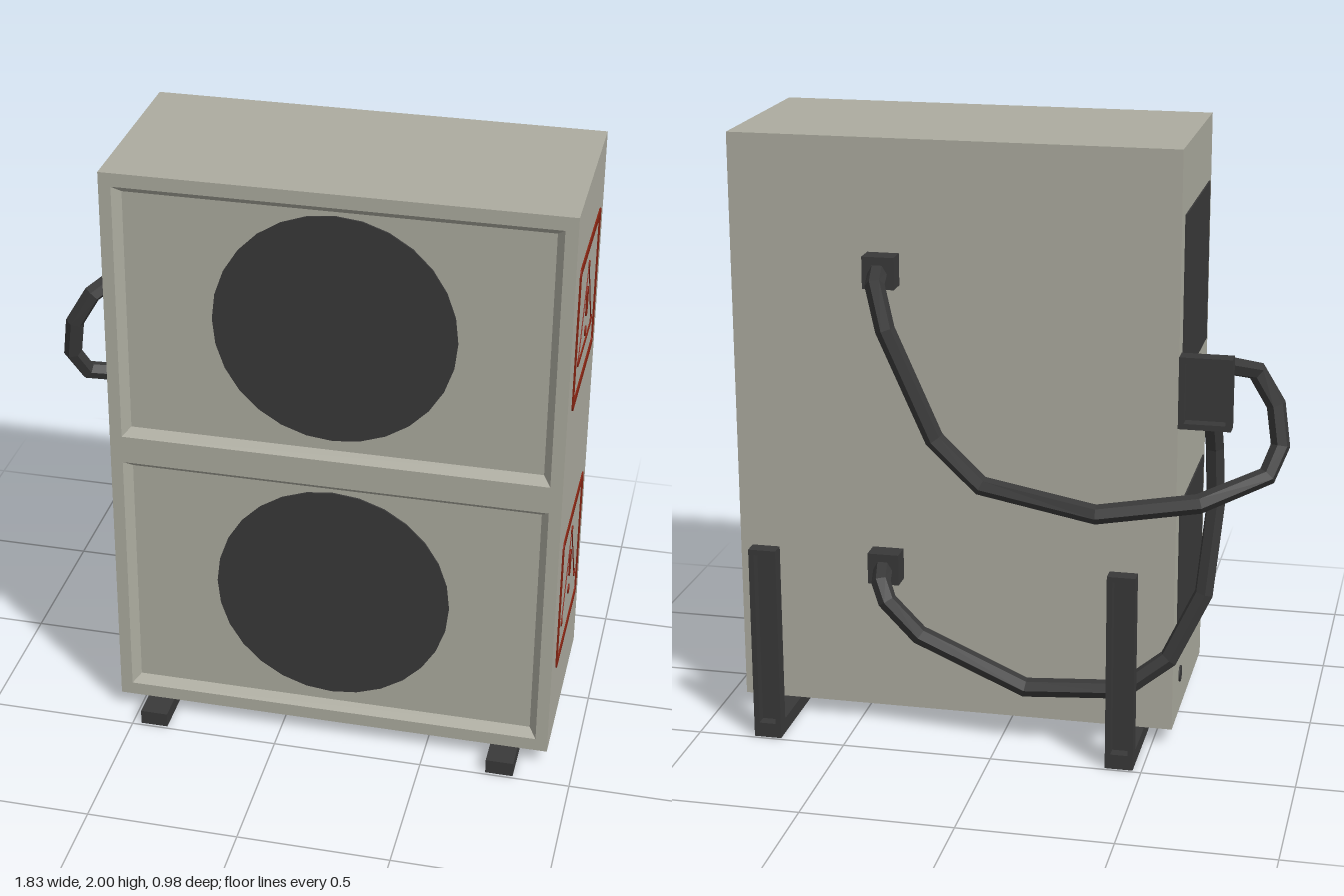
import * as THREE from 'three';

const mat = (name, color) => {
  const m = new THREE.MeshStandardMaterial({ color });
  m.name = name;
  return m;
};

// Polyline path with mitred joints, so tubes keep their straight segments
class Polyline extends THREE.Curve {
  constructor(points) {
    super();
    this.points = points.map(p => new THREE.Vector3(...p));
  }
  getPoint(t, target = new THREE.Vector3()) {
    const n = this.points.length - 1, i = Math.min(Math.floor(t * n + 1e-6), n - 1);
    return target.lerpVectors(this.points[i], this.points[i + 1], t * n - i);
  }
  getPointAt(t, target) { return this.getPoint(t, target); }
  getTangentAt(t, target = new THREE.Vector3()) {
    const p = this.points, n = p.length - 1, i = Math.round(t * n);
    target.set(0, 0, 0);
    if (i > 0) target.add(p[i].clone().sub(p[i - 1]).normalize());
    if (i < n) target.add(p[i + 1].clone().sub(p[i]).normalize());
    return target.normalize();
  }
}

// Rounded rectangle outline centred on cx, cy
function rect(path, w, h, r = 0, cx = 0, cy = 0) {
  const x = w / 2, y = h / 2;
  if (r === 0) {
    path.moveTo(cx - x, cy - y).lineTo(cx + x, cy - y).lineTo(cx + x, cy + y).lineTo(cx - x, cy + y);
  } else {
    path.absarc(cx + x - r, cy + y - r, r, 0, Math.PI / 2);
    path.absarc(cx - x + r, cy + y - r, r, Math.PI / 2, Math.PI);
    path.absarc(cx - x + r, cy - y + r, r, Math.PI, Math.PI * 1.5);
    path.absarc(cx + x - r, cy - y + r, r, Math.PI * 1.5, Math.PI * 2);
  }
  path.closePath();
  return path;
}

const extrude = (shape, depth) =>
  new THREE.ExtrudeGeometry(shape, { depth, bevelEnabled: false, curveSegments: 4 });

// Sloped walls from an outer rectangle at z = 0 to an inner one at z = -depth
function slopedRim(w, h, inset, depth) {
  const corners = [[-1, -1], [1, -1], [1, 1], [-1, 1]];
  const pos = [];
  const pt = (i, inner) => {
    const [sx, sy] = corners[i % 4], k = inner ? inset : 0;
    return [sx * (w / 2 - k), sy * (h / 2 - k), inner ? -depth : 0];
  };
  for (let i = 0; i < 4; i++) {
    const a = pt(i, 0), b = pt(i + 1, 0), c = pt(i + 1, 1), d = pt(i, 1);
    pos.push(...a, ...b, ...c, ...a, ...c, ...d);
  }
  const g = new THREE.BufferGeometry();
  g.setAttribute('position', new THREE.Float32BufferAttribute(pos, 3));
  g.computeVertexNormals();
  return g;
}

export function createModel() {
  const model = new THREE.Group();
  const casing = mat('casing grey', 0xacab9f);
  const dark = mat('charcoal', 0x393939);
  const red = mat('warning red', 0x882412);

  const add = (name, geo, material, x = 0, y = 0, z = 0, parent = model) => {
    const m = new THREE.Mesh(geo, material);
    m.name = name;
    m.position.set(x, y, z);
    parent.add(m);
    return m;
  };
  const box = (w, h, d) => new THREE.BoxGeometry(w, h, d);

  // Shallow tray, closed on +z and open on -z, centred on its origin
  const tray = (name, w, h, d, wall) => {
    const g = new THREE.Group();
    g.name = name;
    const rim = rect(new THREE.Shape(), w, h);
    rim.holes.push(rect(new THREE.Path(), w - 2 * wall, h - 2 * wall));
    add(name + 'Rim', extrude(rim, d - 0.012), dark, 0, 0, -d / 2, g);
    add(name + 'Plate', box(w, h, 0.012), dark, 0, 0, d / 2 - 0.006, g);
    model.add(g);
    return g;
  };

  // Casing with a front frame around two recessed panels
  const CX = 0.1725, CY = 1.0275, W = 1.475, H = 1.945;
  const recessY = [1.515, 0.54], RW = 1.395, RH = 0.88;
  add('casing', box(W, H, 0.645), casing, CX, CY, 0.0525);
  const frame = rect(new THREE.Shape(), W, H);
  recessY.forEach(y => frame.holes.push(rect(new THREE.Path(), RW, RH, 0, 0, y - CY)));
  add('frontFrame', extrude(frame, 0.03), casing, CX, CY, 0.375);

  recessY.forEach((y, i) => {
    add('recessRim', slopedRim(RW, RH, 0.025, 0.03), casing, CX, y, 0.405);
    // Fan opening
    const fan = add('fanOpening', new THREE.CylinderGeometry(0.39, 0.39, 0.006, 28), dark, 0.17, y + 0.012, 0.378);
    fan.rotation.x = Math.PI / 2;
    // Side grille
    add('sideGrille', box(0.006, 0.545, 0.555), dark, -0.567, 1.508 - 0.965 * i, 0.078);
  });
  const port = add('sidePort', new THREE.CylinderGeometry(0.028, 0.028, 0.006, 10), dark, -0.567, 0.19, -0.11);
  port.rotation.z = Math.PI / 2;

  // Warning panels on the left side
  [1.535, 0.56].forEach((y, i) => {
    const sign = new THREE.Group();
    sign.name = 'warningPanel';
    sign.position.set(0.909, y, 0.057);
    sign.rotation.y = Math.PI / 2;
    model.add(sign);
    const border = rect(new THREE.Shape(), 0.495, 0.49, 0.025);
    border.holes.push(rect(new THREE.Path(), 0.441, 0.436, 0.012));
    add('border', extrude(border, 0.005), red, 0, 0, 0, sign);

    const dot = (x, dy, r) => {
      const d = add('dot', new THREE.CylinderGeometry(r, r, 0.005, 10), red, x, dy, 0.0025, sign);
      d.rotation.x = Math.PI / 2;
    };
    const tri = [[0, 0.153], [-0.155, -0.113], [0.155, -0.113]];
    tri.forEach(([x, dy]) => dot(x, dy, 0.014));
    dot(0, -0.08, 0.017);
    add('mark', extrude(rect(new THREE.Shape(), 0.034, 0.1, 0.016), 0.005), red, 0, 0.025, 0, sign);
    // Fine triangle sides, with a bolder base on the upper panel
    [-1, 1].forEach(s => {
      const side = add('triangleSide', box(0.003, 0.3, 0.004), red, s * 0.0775, 0.02, 0.002, sign);
      side.rotation.z = s * Math.atan2(0.155, 0.266);
    });
    if (i === 0) add('triangleBase', box(0.29, 0.01, 0.005), red, 0, -0.122, 0.0025, sign);
  });

  // L-shaped support rails made of open channels
  [-0.425, 0.765].forEach(x => {
    const foot = tray('footRail', 0.092, 0.98, 0.05, 0.018);
    foot.rotation.x = -Math.PI / 2;
    foot.position.set(x, 0.025, 0);
    tray('rearUpright', 0.092, 0.665, 0.05, 0.018).position.set(x, 0.3325, -0.465);
  });

  // Wall box where the hoses end
  tray('wallBox', 0.165, 0.23, 0.055, 0.018).position.set(-0.678, 1.285, -0.4625);

  // Hoses and their sockets
  [1.577, 0.572].forEach(y => add('hoseSocket', box(0.105, 0.105, 0.07), dark, 0.397, y, -0.305));
  const hoses = {
    upperHose: [[0.4, 1.577, -0.33], [0.385, 1.56, -0.42], [0.35, 1.42, -0.435], [0.2, 1.06, -0.41],
      [0.05, 0.91, -0.4], [-0.33, 0.85, -0.43], [-0.65, 0.885, -0.36], [-0.85, 0.95, -0.23],
      [-0.885, 1.04, -0.185], [-0.865, 1.17, -0.165], [-0.8, 1.28, -0.17], [-0.7, 1.335, -0.31],
      [-0.68, 1.335, -0.44]],
    lowerHose: [[0.4, 0.572, -0.33], [0.385, 0.555, -0.41], [0.36, 0.5, -0.43], [0.255, 0.385, -0.42],
      [-0.09, 0.21, -0.375], [-0.415, 0.23, -0.37], [-0.56, 0.34, -0.34], [-0.665, 0.56, -0.3],
      [-0.69, 0.85, -0.25], [-0.685, 1.05, -0.27], [-0.678, 1.24, -0.34], [-0.678, 1.25, -0.44]],
  };
  for (const [name, points] of Object.entries(hoses)) {
    const tube = new THREE.TubeGeometry(new Polyline(points), points.length - 1, 0.032, 6).toNonIndexed();
    tube.computeVertexNormals();
    add(name, tube, dark);
  }

  return model;
}
